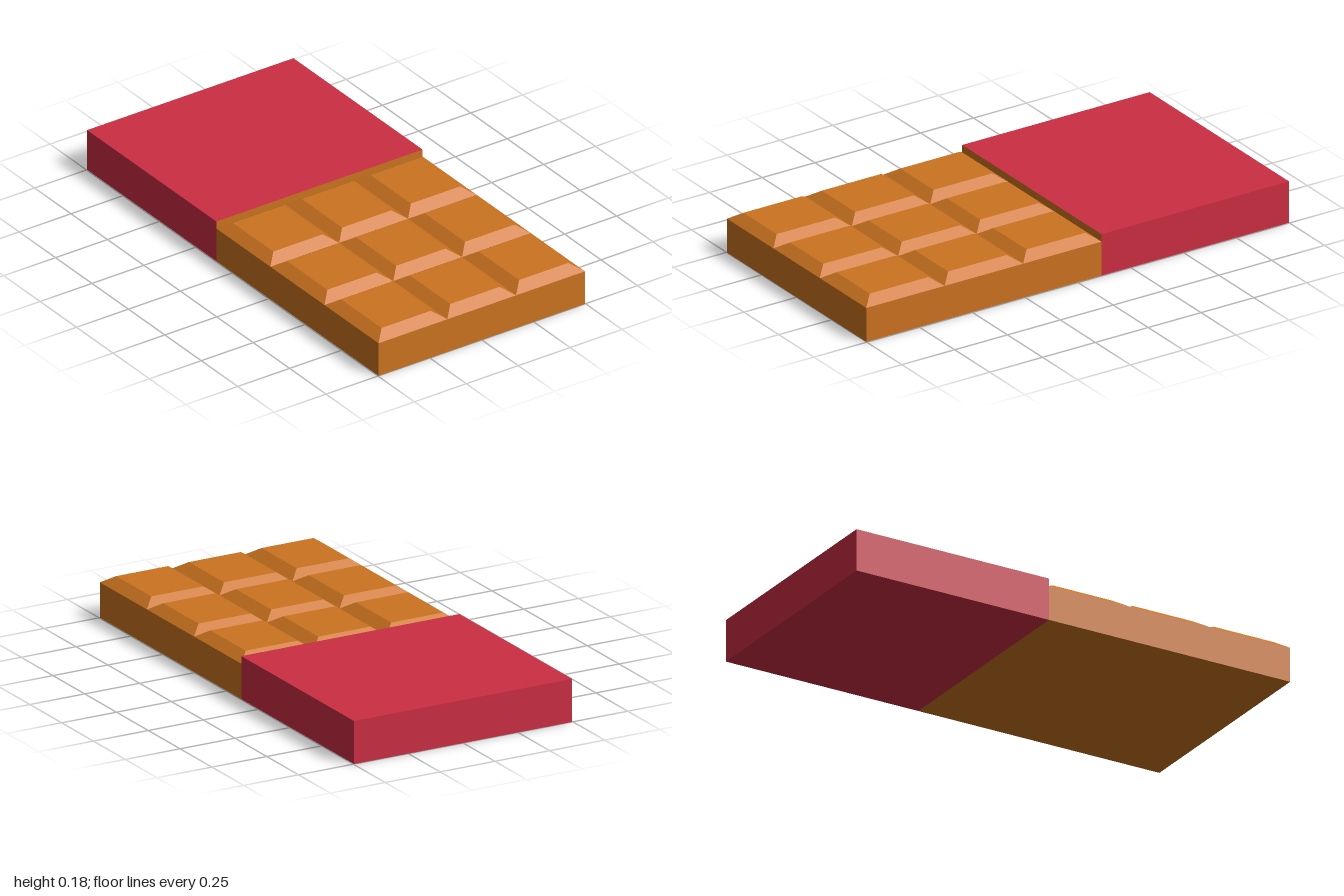
import * as THREE from 'three';

const W = 0.994, H = 0.18, BASE = 0.148, SPLIT = -0.113, BEVEL = 0.047;

export function createModel() {
  const model = new THREE.Group();
  const chocolate = new THREE.MeshStandardMaterial({ color: 0xcc7320, flatShading: true });
  const foil = new THREE.MeshStandardMaterial({ color: 0xcc2d42, flatShading: true });

  const add = (name, geometry, material, x, y, z, parent = model) => {
    const mesh = new THREE.Mesh(geometry, material);
    mesh.name = name;
    mesh.position.set(x, y, z);
    parent.add(mesh);
    return mesh;
  };

  // Bare slab below the squares
  const length = 1 - SPLIT;
  add('barBase', new THREE.BoxGeometry(W, BASE, length), chocolate, 0, BASE / 2, (1 + SPLIT) / 2);

  // One square: a box whose top corners are pulled inwards
  const cellX = W / 3, cellZ = length / 3, rise = H - BASE;
  const square = new THREE.BoxGeometry(cellX, rise, cellZ);
  const p = square.attributes.position;
  for (let i = 0; i < p.count; i++) {
    if (p.getY(i) > 0) {
      p.setX(i, p.getX(i) - Math.sign(p.getX(i)) * BEVEL);
      p.setZ(i, p.getZ(i) - Math.sign(p.getZ(i)) * BEVEL);
    }
  }
  square.computeVertexNormals();

  // Three by three grid of squares
  const squares = new THREE.Group();
  squares.name = 'squares';
  model.add(squares);
  for (let row = 0; row < 3; row++) {
    for (let col = 0; col < 3; col++) {
      add('square', square, chocolate, (col - 1) * cellX, BASE + rise / 2, 1 - (row + 0.5) * cellZ, squares);
    }
  }

  // Wrapper sleeve, open towards the bare squares (front face removed)
  const sleeveLength = SPLIT + 1;
  const sleeve = new THREE.BoxGeometry(W, H, sleeveLength);
  const index = Array.from(sleeve.index.array);
  index.splice(24, 6);
  sleeve.setIndex(index);
  sleeve.clearGroups();
  add('wrapper', sleeve, foil, 0, H / 2, SPLIT - sleeveLength / 2);

  // Chocolate filling the mouth of the sleeve
  add('wrappedBarEnd', new THREE.PlaneGeometry(W, H), chocolate, 0, H / 2, SPLIT);

  return model;
}
